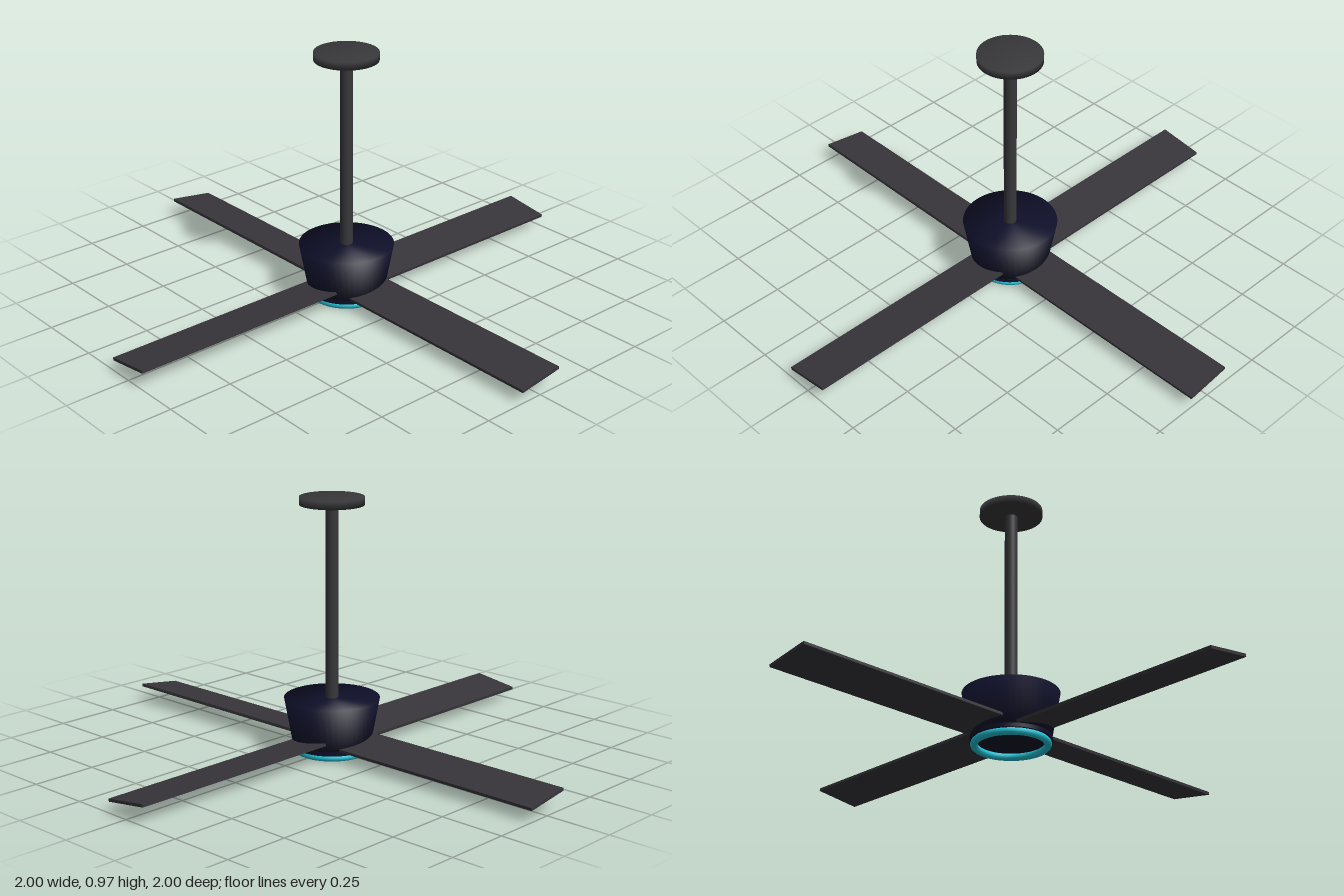
import * as THREE from 'three';

const material = (name, color) => {
  const m = new THREE.MeshStandardMaterial({ color });
  m.name = name;
  return m;
};

export function createModel() {
  const metal = material('charcoal metal', 0x38383b);
  const bladeFinish = material('dark blade finish', 0x37353a);
  const navy = material('midnight navy', 0x0f0f2a);
  const cyan = material('cyan glow', 0x22c3d6);

  const fan = new THREE.Group();
  fan.name = 'ceilingFan';

  const add = (name, geometry, mat, y = 0) => {
    const mesh = new THREE.Mesh(geometry, mat);
    mesh.name = name;
    mesh.position.y = y;
    fan.add(mesh);
    return mesh;
  };

  // Closed solid of revolution with softly shaded rims; profile runs bottom to top
  const turned = (profile) =>
    new THREE.LatheGeometry(profile.map(([r, y]) => new THREE.Vector2(r, y)), 48);

  // Ceiling mount and hanging rod
  add('ceilingMount', turned([[0, 0.94], [0.12, 0.94], [0.12, 0.97], [0, 0.97]]), metal);
  add('rod', new THREE.CylinderGeometry(0.024, 0.024, 0.75, 24), metal, 0.575);

  // Tapered motor housing and the plate beneath it
  add('motorHousing', turned([[0, 0.035], [0.148, 0.035], [0.18, 0.21], [0, 0.21]]), navy);
  add('basePlate', new THREE.CylinderGeometry(0.15, 0.15, 0.015, 48), navy, 0.032);

  // Light ring
  const ring = new THREE.TorusGeometry(0.133, 0.014, 12, 64);
  ring.rotateX(Math.PI / 2);
  add('lightRing', ring, cyan, 0.014);

  // Four pitched blades, pointing +z, +x, -z and -x
  const bladeShape = new THREE.BoxGeometry(0.18, 0.011, 0.9);
  bladeShape.rotateZ(0.14);
  bladeShape.translate(0, 0, 0.55);
  for (let i = 0; i < 4; i++) {
    add(`blade${i + 1}`, bladeShape, bladeFinish, 0.059).rotation.y = (i * Math.PI) / 2;
  }

  return fan;
}
